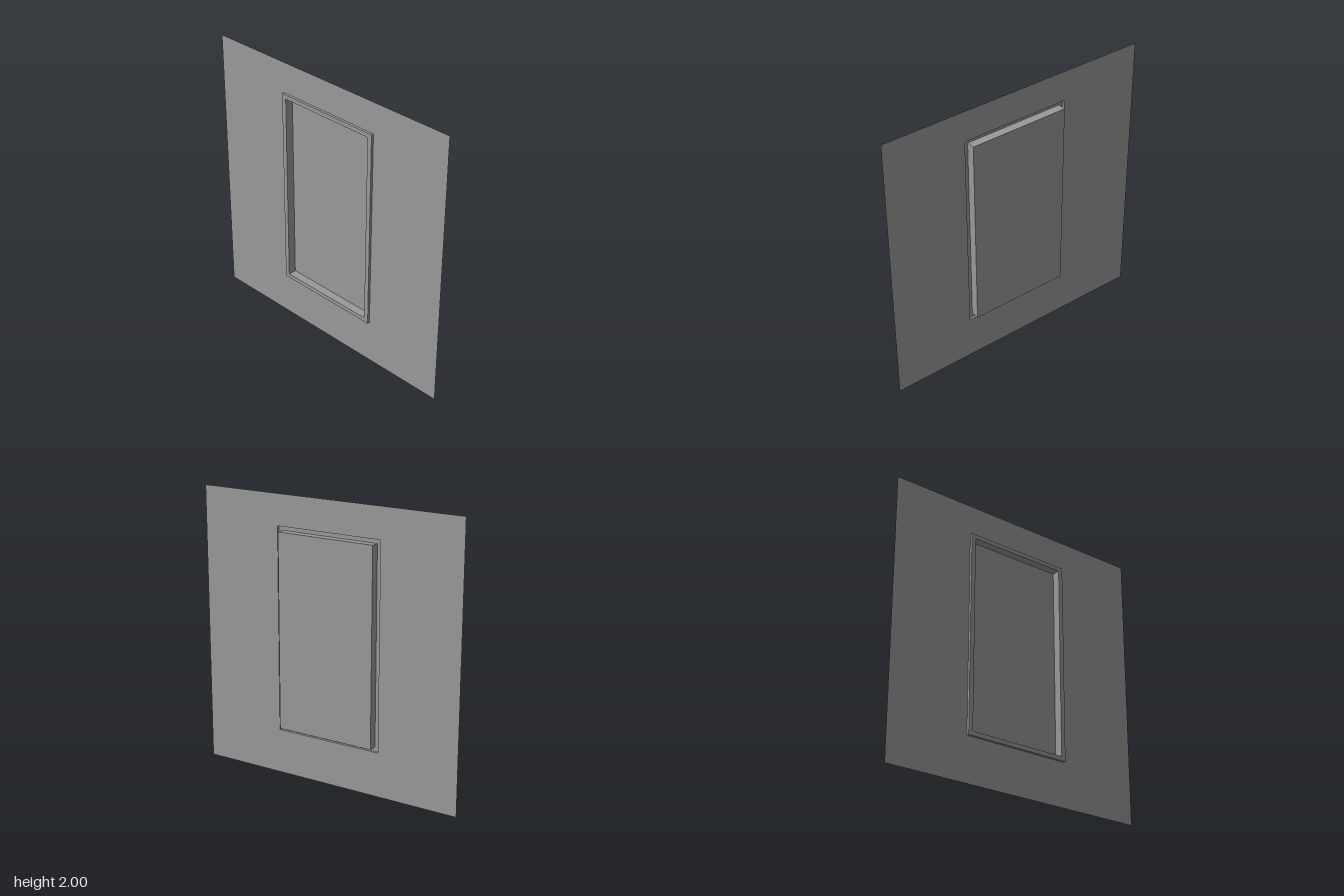
import * as THREE from 'three';

// Rectangular outline, counter-clockwise seen from the front
const rect = (halfW, bottom, top, z) => [
  [-halfW, bottom, z], [halfW, bottom, z], [halfW, top, z], [-halfW, top, z],
];

// Four flat quads joining one outline to the next
function band(a, b) {
  const pos = [];
  for (let i = 0; i < 4; i++) {
    const j = (i + 1) % 4;
    for (const p of [a[i], a[j], b[j], a[i], b[j], b[i]]) pos.push(...p);
  }
  const geo = new THREE.BufferGeometry();
  geo.setAttribute('position', new THREE.Float32BufferAttribute(pos, 3));
  geo.computeVertexNormals();
  return geo;
}

export function createModel() {
  const group = new THREE.Group();
  const grey = new THREE.MeshStandardMaterial({ color: 0x999999, side: THREE.DoubleSide });
  grey.name = 'grey';

  const wallZ = 0.012, frontZ = 0.03, backZ = -0.03;
  const edge = rect(1, 0, 2, wallZ);
  const frameBase = rect(0.4, 0.32, 1.78, wallZ);
  const frameOuter = rect(0.4, 0.32, 1.78, frontZ);
  const frameInner = rect(0.367, 0.35, 1.75, frontZ);
  const recessBack = rect(0.367, 0.35, 1.75, backZ);

  const add = (name, geo) => {
    const mesh = new THREE.Mesh(geo, grey);
    mesh.name = name;
    group.add(mesh);
    return mesh;
  };

  // Thin sheet wall, raised frame and the recess sunk through it
  add('wall', band(edge, frameBase));
  add('frameSides', band(frameBase, frameOuter));
  add('frameFace', band(frameOuter, frameInner));
  add('recessSides', band(frameInner, recessBack));
  add('recessPanel', new THREE.PlaneGeometry(0.734, 1.4)).position.set(0, 1.05, backZ);

  return group;
}
